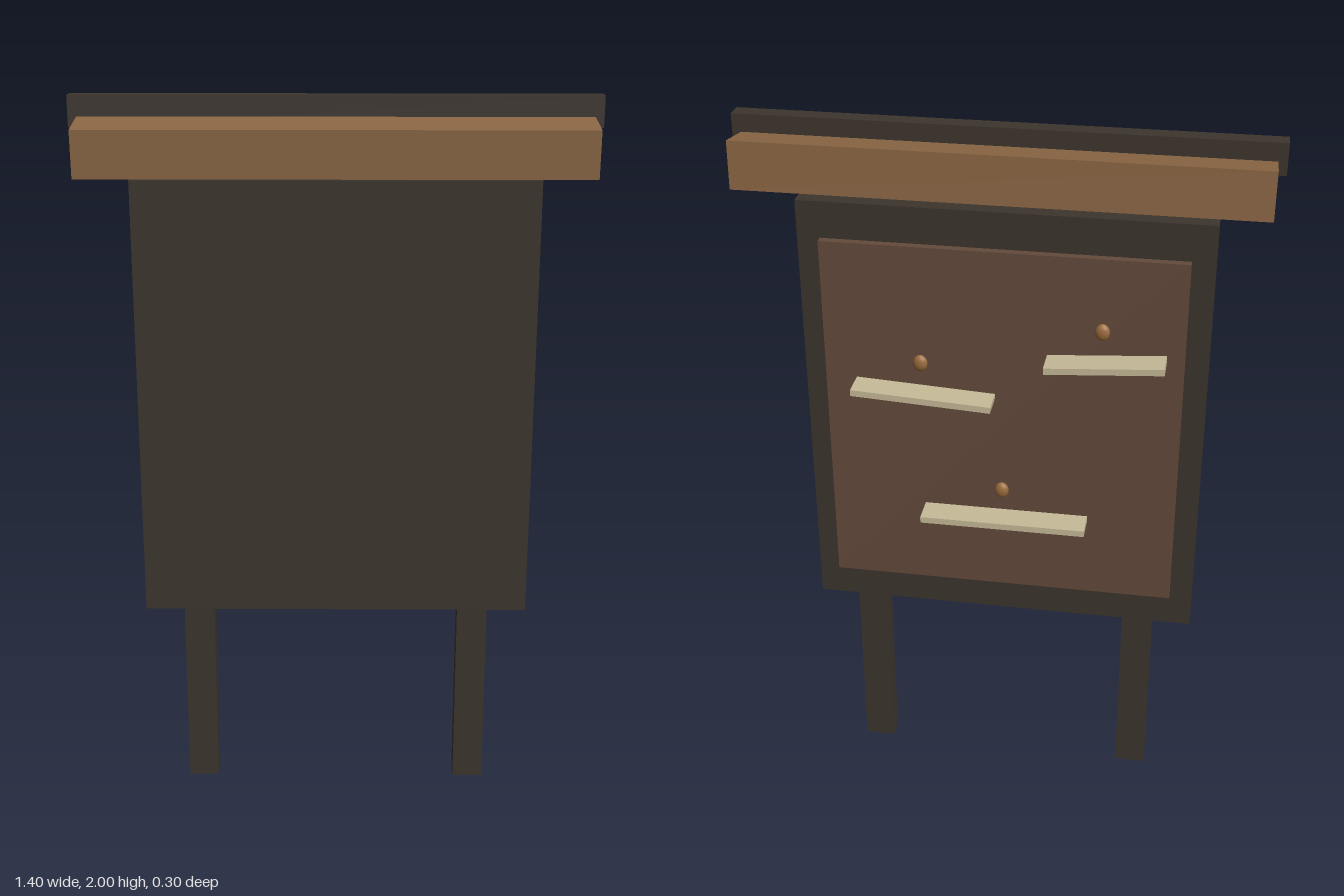
import * as THREE from 'three';

const mat = (name, color) => {
  const m = new THREE.MeshStandardMaterial({ color });
  m.name = name;
  return m;
};

export function createModel() {
  const dark = mat('dark timber', 0x3d352e);
  const roofWood = mat('roof timber', 0x8b6744);
  const backing = mat('backing brown', 0x644a3b);
  const cream = mat('cream paper', 0xc6bb99);
  const brass = mat('brass', 0x9a6c3c);

  const group = new THREE.Group();
  group.name = 'noticeBoard';

  const add = (name, geometry, material, x, y, z) => {
    const mesh = new THREE.Mesh(geometry, material);
    mesh.name = name;
    mesh.position.set(x, y, z);
    group.add(mesh);
    return mesh;
  };
  const box = (name, material, w, h, d, x, y, z) =>
    add(name, new THREE.BoxGeometry(w, h, d), material, x, y, z);

  // Board and legs
  box('board', dark, 1.094, 1.235, 0.066, 0, 1.163, 0);
  for (const [name, side] of [['leftLeg', 1], ['rightLeg', -1]]) {
    box(name, dark, 0.086, 0.56, 0.055, side * 0.394, 0.28, 0);
  }

  // Pinning panel on the back
  box('pinPanel', backing, 0.97, 1.033, 0.022, 0, 1.164, -0.046);

  // Sloping roof: a slanted profile drawn in (-z, y) and run along x
  const profile = new THREE.Shape([
    [-0.148, 1.926], [-0.143, 1.8], [0.149, 1.845], [0.143, 1.971],
  ].map(([u, y]) => new THREE.Vector2(u, y)));
  const roof = new THREE.ExtrudeGeometry(profile, { depth: 1.354, bevelEnabled: false });
  roof.translate(0, 0, -0.677).rotateY(Math.PI / 2);
  add('roof', roof, roofWood, 0, 0, 0);
  box('ridgeBeam', dark, 1.4, 0.083, 0.048, 0, 1.9585, 0);

  // Papers standing out from the panel, each with a pin above
  const notes = [
    { x: 0.209, y: 1.27, w: 0.382, tilt: 0.055, pinX: 0.216, pinY: 1.358 },
    { x: -0.28, y: 1.4, w: 0.316, tilt: -0.07, pinX: -0.269, pinY: 1.487 },
    { x: -0.012, y: 0.893, w: 0.46, tilt: 0, pinX: -0.004, pinY: 0.98 },
  ];
  const pin = new THREE.SphereGeometry(1, 12, 8).scale(0.02, 0.024, 0.013);
  notes.forEach((n, i) => {
    const paper = box(`paper${i + 1}`, cream, n.w, 0.018, 0.104, n.x, n.y, -0.084);
    paper.rotation.z = n.tilt;
    add(`pin${i + 1}`, pin, brass, n.pinX, n.pinY, -0.081);
  });

  return group;
}
